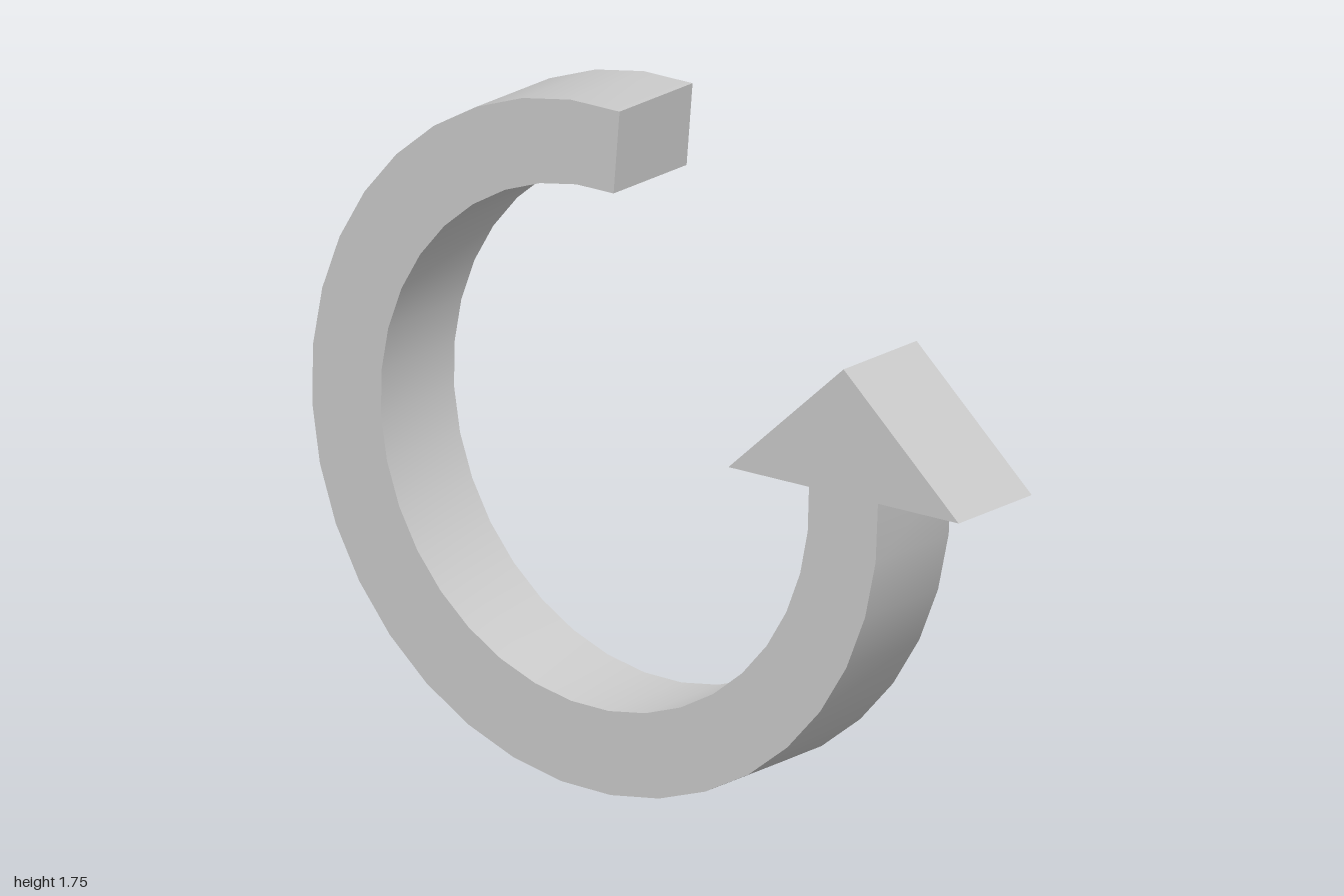
import * as THREE from 'three';
import { toCreasedNormals } from 'three/addons/utils/BufferGeometryUtils.js';

const CENTER = new THREE.Vector2(-0.127, 0.878);
const OUTER = 0.876, INNER = 0.663, DEPTH = 0.285, SEGMENTS = 28;
const START = THREE.MathUtils.degToRad(85);
const HEAD_Y = 0.913; // base line of the arrowhead

// Points along one edge of the open ring, ending on the arrowhead base
function arc(radius) {
  const end = Math.PI * 2 + Math.asin((HEAD_Y - CENTER.y) / radius);
  return Array.from({ length: SEGMENTS + 1 }, (_, i) => {
    const a = THREE.MathUtils.lerp(START, end, i / SEGMENTS);
    return new THREE.Vector2(Math.cos(a), Math.sin(a)).multiplyScalar(radius).add(CENTER);
  });
}

export function createModel() {
  const group = new THREE.Group();
  group.name = 'curvedArrow';

  // One outline: outer curve, arrowhead, inner curve back to the tail
  const head = [[0.998, HEAD_Y], [0.642, 1.234], [0.286, HEAD_Y]]
    .map(([x, y]) => new THREE.Vector2(x, y));
  const outline = new THREE.Shape([...arc(OUTER), ...head, ...arc(INNER).reverse()]);

  const solid = new THREE.ExtrudeGeometry(outline, { depth: DEPTH, bevelEnabled: false });
  solid.translate(0, 0, -DEPTH / 2);

  // Smooth around the curve, sharp at the faces, tail and head
  const arrow = new THREE.Mesh(
    toCreasedNormals(solid, THREE.MathUtils.degToRad(30)),
    new THREE.MeshStandardMaterial({ color: 0xcccccc })
  );
  arrow.name = 'arrowBody';
  group.add(arrow);
  return group;
}
